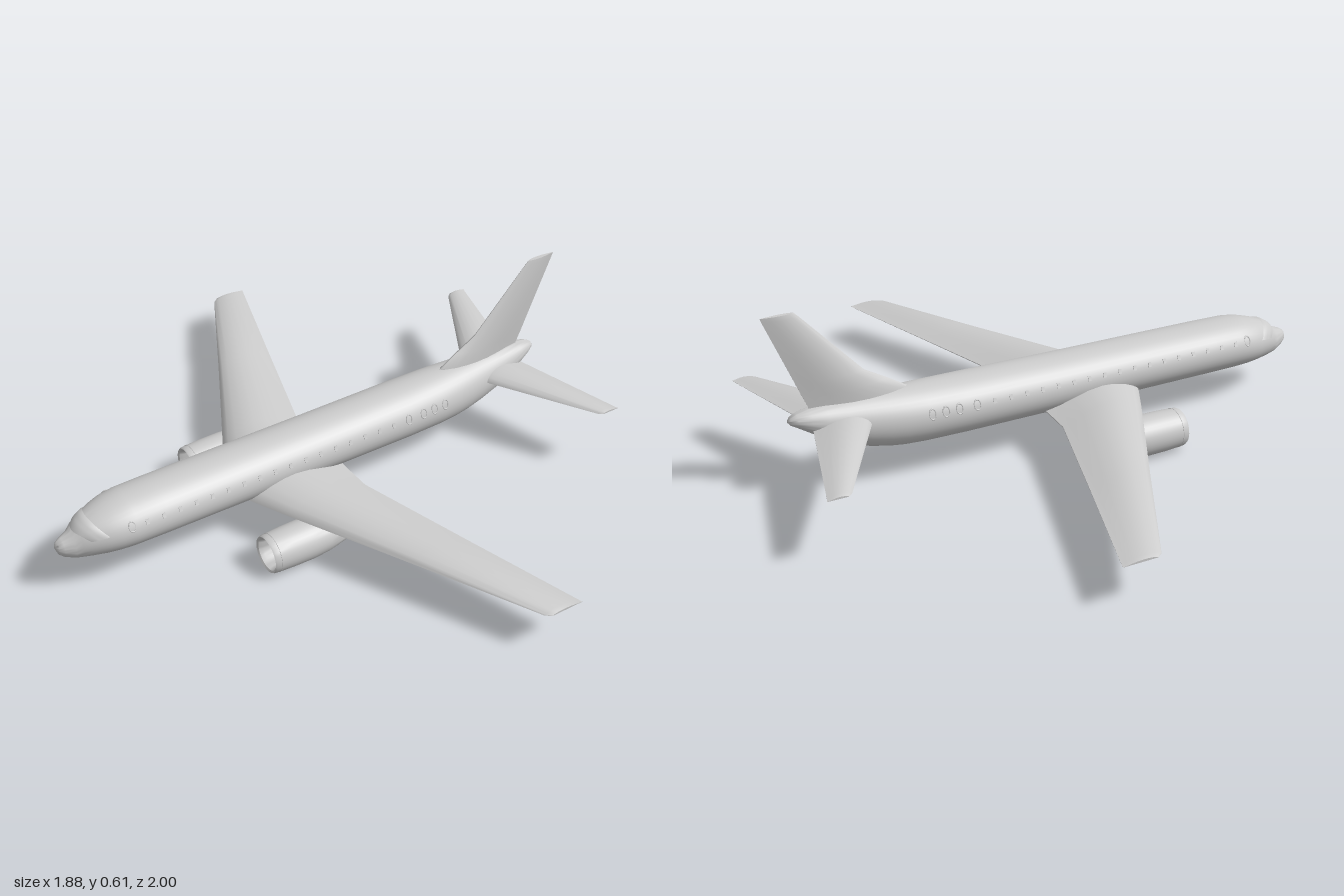
import * as THREE from 'three';
import { toCreasedNormals, mergeVertices } from 'three/addons/utils/BufferGeometryUtils.js';

const grey = new THREE.MeshStandardMaterial({ color: 0xcccccc });
const greyTwoSided = new THREE.MeshStandardMaterial({ color: 0xcccccc, side: THREE.DoubleSide });
const CZ = -0.004; // fuselage centre line

// Skin a row of equal-length closed rings, cap both ends, face outward
function loft(rings, crease = 0.7) {
  const n = rings[0].length, pos = rings.flat(2), idx = [];
  const at = (r, i) => r * n + (i % n);
  for (let r = 0; r < rings.length - 1; r++)
    for (let i = 0; i < n; i++)
      idx.push(at(r, i), at(r, i + 1), at(r + 1, i), at(r, i + 1), at(r + 1, i + 1), at(r + 1, i));
  [0, rings.length - 1].forEach((r, end) => {
    const c = [0, 1, 2].map(k => rings[r].reduce((s, p) => s + p[k], 0) / n);
    pos.push(...c);
    const ci = rings.length * n + end;
    for (let i = 0; i < n; i++)
      end ? idx.push(ci, at(r, i), at(r, i + 1)) : idx.push(ci, at(r, i + 1), at(r, i));
  });
  // signed volume tells whether the faces point inward
  const p = i => new THREE.Vector3(pos[3 * i], pos[3 * i + 1], pos[3 * i + 2]);
  let volume = 0;
  for (let i = 0; i < idx.length; i += 3)
    volume += p(idx[i]).dot(p(idx[i + 1]).cross(p(idx[i + 2])));
  if (volume < 0) idx.reverse();
  const g = new THREE.BufferGeometry();
  g.setAttribute('position', new THREE.Float32BufferAttribute(pos, 3));
  g.setIndex(idx);
  return toCreasedNormals(g, crease);
}

// Fuselage stations: x, bottom, top, half width
const stations = [
  [-0.938, 0.172, 0.184, 0.006], [-0.93, 0.150, 0.194, 0.019], [-0.915, 0.137, 0.203, 0.029],
  [-0.885, 0.124, 0.214, 0.045], [-0.865, 0.120, 0.235, 0.056], [-0.84, 0.117, 0.251, 0.069],
  [-0.79, 0.114, 0.267, 0.090], [-0.75, 0.112, 0.278, 0.101], [-0.70, 0.111, 0.284, 0.107],
  [-0.6, 0.110, 0.286, 0.108], [0.0, 0.108, 0.291, 0.108], [0.32, 0.107, 0.296, 0.107],
  [0.45, 0.107, 0.299, 0.101], [0.52, 0.110, 0.300, 0.094], [0.57, 0.116, 0.300, 0.087],
  [0.63, 0.129, 0.300, 0.077], [0.70, 0.151, 0.298, 0.064], [0.76, 0.181, 0.297, 0.052],
  [0.81, 0.214, 0.294, 0.041], [0.85, 0.240, 0.287, 0.027], [0.87, 0.252, 0.278, 0.015], [0.878, 0.262, 0.268, 0.004],
];
function sectionAt(x) {
  let i = 1;
  while (i < stations.length - 1 && stations[i][0] < x) i++;
  const a = stations[i - 1], b = stations[i], t = (x - a[0]) / (b[0] - a[0]);
  const [lo, hi, w] = [1, 2, 3].map(k => THREE.MathUtils.lerp(a[k], b[k], t));
  return { y: (lo + hi) / 2, h: (hi - lo) / 2, w };
}
// Point on the skin; angle 0 is the crown
function skin(x, angle, out = 0) {
  const s = sectionAt(x);
  return [x, s.y + (s.h + out) * Math.cos(angle), CZ + (s.w + out) * Math.sin(angle)];
}

// Aerofoil outlines [chord fraction, thickness fraction]
const upper = [[0, 0], [0.02, 0.25], [0.07, 0.5], [0.17, 0.78], [0.3, 0.95], [0.42, 1], [0.58, 0.88], [0.75, 0.58], [0.9, 0.24], [1, 0.04]];
const flatFoil = [...upper, [1, -0.02], [0.7, -0.04], [0.3, -0.04], [0.04, -0.04]];
const evenFoil = [...upper, ...upper.slice(1).reverse().map(([u, t]) => [u, -t])];

export function createModel() {
  const model = new THREE.Group();
  model.name = 'airliner';
  const add = (name, geometry, parent = model, material = grey) => {
    const m = new THREE.Mesh(geometry, material);
    m.name = name;
    parent.add(m);
    return m;
  };

  // Fuselage
  const sides = 40;
  add('fuselage', loft(stations.map(([x]) =>
    Array.from({ length: sides }, (_, i) => skin(x, (i / sides) * Math.PI * 2))), 1));

  // Windshield: thin raised band wrapped over the nose
  const band = new THREE.PlaneGeometry(1, 1, 24, 5), bp = band.attributes.position;
  for (let i = 0; i < bp.count; i++) {
    const a = bp.getX(i) * 2.5, v = bp.getY(i) + 0.5;
    const front = -0.878 + 0.035 * (a / 1.25) ** 2;
    const rear = -0.828 + 0.038 * (a / 1.25) ** 2;
    bp.setXYZ(i, ...skin(THREE.MathUtils.lerp(front, rear, v), a, v > 0 && v < 1 ? 0.003 : 0));
  }
  band.computeVertexNormals();
  add('windshield', band, model, greyTwoSided);

  // Cabin windows and door frames, both sides
  const paneGeo = new THREE.BoxGeometry(0.011, 0.016, 0.004);
  const frameGeo = new THREE.TorusGeometry(0.011, 0.0018, 6, 20).scale(1, 1.5, 1);
  const place = (name, geo, x, side) => {
    const m = add(name, geo);
    const s = sectionAt(x), angle = Math.acos((0.231 - s.y) / s.h);
    m.position.set(...skin(x, side * angle));
    m.rotation.x = -Math.atan2(Math.cos(angle) / s.h, Math.sin(angle) / s.w) * side;
  };
  for (const side of [1, -1]) {
    for (let i = 0; i < 17; i++) place('cabinWindow', paneGeo, -0.67 + i * 0.0565, side);
    for (const x of [-0.72, 0.295, 0.355, 0.4, 0.445]) place('doorFrame', frameGeo, x, side);
  }

  // Flat-bottomed lifting surface from [z, leading x, trailing x, y, thickness]
  const surface = rows => loft(rows.map(([z, le, te, y, t]) =>
    flatFoil.map(([u, v]) => [le + (te - le) * u, y + t * v, z])), 0.6);

  for (const side of [1, -1]) {
    const label = side > 0 ? 'left' : 'right';
    // Main wing
    add(label + 'Wing', surface([
      [0, -0.345, 0.045, 0.139, 0.068], [0.11 * side, -0.29, 0.045, 0.139, 0.060],
      [0.21 * side, -0.24, 0.048, 0.139, 0.052], [0.6 * side, -0.037, 0.167, 0.140, 0.030],
      [0.985 * side, 0.16, 0.286, 0.141, 0.012], [1.0 * side, 0.178, 0.29, 0.142, 0.007],
    ]));

    // Tailplane
    const tip = side > 0 ? 0.415 : -0.45;
    add(label + 'Tailplane', surface([
      [CZ, 0.595, 0.80, 0.232, 0.036], [CZ + 0.08 * side, 0.64, 0.822, 0.232, 0.030],
      [tip - 0.012 * side, 0.842, 0.916, 0.23, 0.010], [tip, 0.855, 0.92, 0.231, 0.006],
    ]));

    // Engine: nacelle, hollow inlet and tail pipe as one turned shell, plus fan and spinner
    const engine = new THREE.Group();
    engine.name = label + 'Engine';
    engine.position.set(0, 0.07, 0.261 * side);
    model.add(engine);
    const turned = pts => toCreasedNormals(mergeVertices(
      new THREE.LatheGeometry(pts.map(([x, r]) => new THREE.Vector2(r, x)), 36).rotateZ(-Math.PI / 2)), 0.6);
    add('nacelle', turned([
      [-0.29, 0.046], [-0.335, 0.049], [-0.350, 0.054], [-0.354, 0.060], [-0.348, 0.063], [-0.332, 0.0645],
      [-0.28, 0.067], [-0.21, 0.068], [-0.15, 0.064], [-0.09, 0.053], [-0.03, 0.038], [-0.03, 0.034],
      [0.008, 0.031], [0.008, 0.0001],
    ]), engine, greyTwoSided);
    const ring = add('inletRing', new THREE.TorusGeometry(0.0643, 0.0012, 6, 36), engine);
    ring.rotation.y = Math.PI / 2;
    ring.position.x = -0.332;
    add('fanAndSpinner', turned([[-0.325, 0.0001], [-0.318, 0.008], [-0.295, 0.017], [-0.295, 0.047]]), engine, greyTwoSided);
  }

  // Fin with dorsal fillet: [y, leading x, trailing x, half thickness]
  add('fin', loft([
    [0.25, 0.47, 0.79, 0.029], [0.30, 0.487, 0.81, 0.026], [0.34, 0.55, 0.827, 0.023],
    [0.385, 0.626, 0.845, 0.020], [0.60, 0.82, 0.932, 0.009], [0.614, 0.834, 0.937, 0.007],
  ].map(([y, le, te, t]) => evenFoil.map(([u, v]) => [le + (te - le) * u, y, CZ + t * v])), 0.6));

  return model;
}
